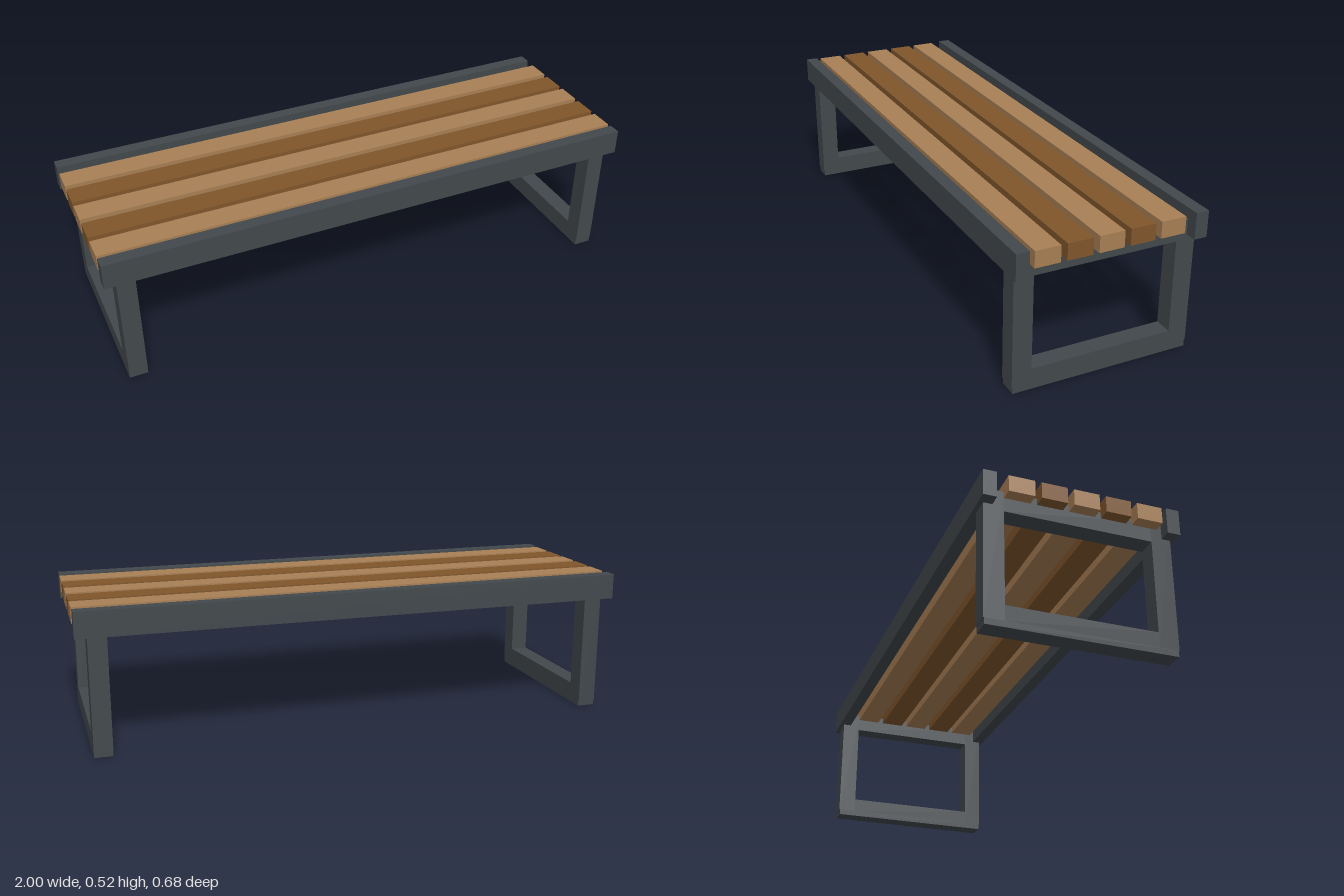
import * as THREE from 'three';

export function createModel() {
  const bench = new THREE.Group();
  bench.name = 'slattedBench';

  const steel = new THREE.MeshStandardMaterial({ name: 'darkGreyMetal', color: 0x42484c });
  const lightWood = new THREE.MeshStandardMaterial({ name: 'lightWood', color: 0xa87f54 });
  const darkWood = new THREE.MeshStandardMaterial({ name: 'darkWood', color: 0x80562b });

  // Box given by its lower and upper limits on each axis
  function addBox(parent, name, material, [x0, x1], [y0, y1], [z0, z1]) {
    const mesh = new THREE.Mesh(new THREE.BoxGeometry(x1 - x0, y1 - y0, z1 - z0), material);
    mesh.position.set((x0 + x1) / 2, (y0 + y1) / 2, (z0 + z1) / 2);
    mesh.name = name;
    parent.add(mesh);
  }

  // Seat slats in alternating wood tones, set slightly towards the front
  for (let i = 0; i < 5; i++) {
    const z = 0.0115 + (i - 2) * 0.111;
    addBox(bench, 'seatSlat', i % 2 ? darkWood : lightWood,
      [-1, 1], [0.457, 0.515], [z - 0.0445, z + 0.0445]);
  }

  // Long rails along the front and back edges
  addBox(bench, 'frontRail', steel, [-1, 1], [0.425, 0.518], [0.294, 0.34]);
  addBox(bench, 'backRail', steel, [-1, 1], [0.425, 0.518], [-0.34, -0.294]);

  // Rectangular leg frame at each end
  for (const side of [-1, 1]) {
    const frame = new THREE.Group();
    frame.name = side > 0 ? 'leftLegFrame' : 'rightLegFrame';
    frame.position.x = side * 0.925;
    const width = [-0.033, 0.033];
    addBox(frame, 'frontLeg', steel, width, [0.022, 0.48], [0.256, 0.325]);
    addBox(frame, 'backLeg', steel, width, [0.022, 0.48], [-0.325, -0.256]);
    addBox(frame, 'topBar', steel, width, [0.407, 0.48], [-0.256, 0.256]);
    // The foot bar closes the frame beneath both legs
    addBox(frame, 'footBar', steel, width, [0, 0.022], [-0.322, 0.322]);
    addBox(frame, 'footBarUpper', steel, width, [0.022, 0.075], [-0.256, 0.256]);
    bench.add(frame);
  }

  return bench;
}
